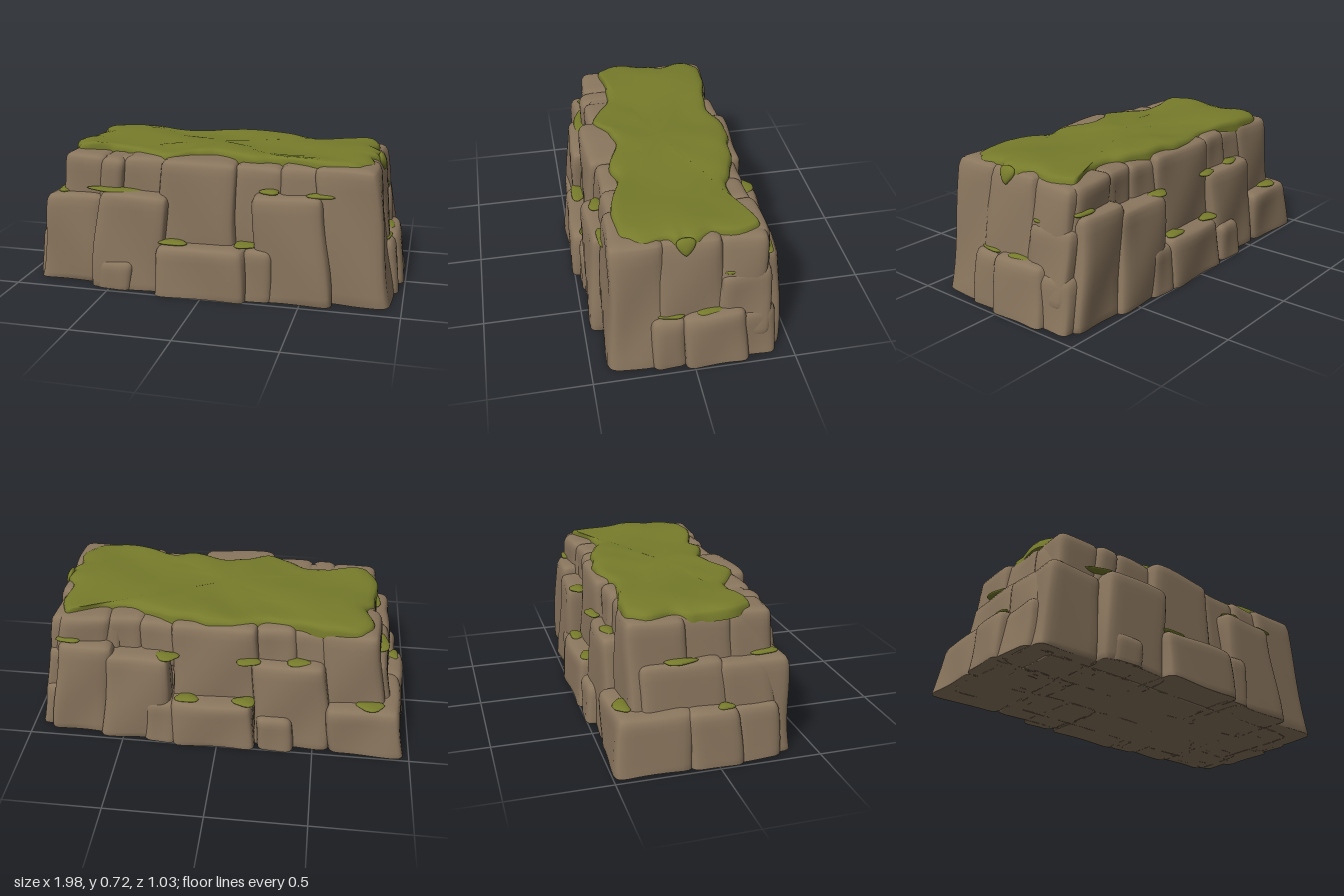
import * as THREE from 'three';
import { mergeVertices } from 'three/addons/utils/BufferGeometryUtils.js';

const rock = new THREE.MeshStandardMaterial({ color: 0x8a765e });
rock.name = 'brown rock';
const moss = new THREE.MeshStandardMaterial({ color: 0x767b2b, side: THREE.DoubleSide });
moss.name = 'green moss';

// Worn block: rounded box that leans inward with height and has gently uneven faces.
// Extents are [x0, x1, y0, y1, z0, z1], measured at mid-height.
function block(e, seed, radius, seg, wobble) {
  const [x0, x1, y0, y1, z0, z1] = e;
  const onGround = y0 === 0;
  const low = onGround ? -0.05 : y0;
  const half = [(x1 - x0) / 2, (y1 - low) / 2, (z1 - z0) / 2];
  const mid = [(x1 + x0) / 2, (y1 + low) / 2, (z1 + z0) / 2];
  const r = Math.min(radius, ...half);
  let g = new THREE.BoxGeometry(2, 2, 2, seg, seg, seg);
  g.deleteAttribute('normal');
  g.deleteAttribute('uv');
  g = mergeVertices(g);
  const p = g.attributes.position;
  const v = new THREE.Vector3(), core = new THREE.Vector3();
  for (let i = 0; i < p.count; i++) {
    v.fromBufferAttribute(p, i);
    // Crowd the grid toward the edges, then round them
    const q = v.toArray().map((t, k) => Math.sin(t * Math.PI / 2) * half[k]);
    core.fromArray(q.map((t, k) => THREE.MathUtils.clamp(t, r - half[k], half[k] - r)));
    v.fromArray(q).sub(core).normalize().multiplyScalar(r).add(core);
    v.x = (v.x + mid[0]) * (1 - 0.15 * v.y);
    v.z = (v.z + mid[2]) * (1 - 0.08 * v.y);
    v.y += mid[1];
    const { x, y, z } = v;
    v.x += wobble * Math.sin(9 * y + 12 * z + seed);
    v.y += wobble * 0.5 * Math.sin(10 * x + 8 * z + seed * 2);
    v.z += wobble * Math.sin(12 * x + 9 * y + seed * 3);
    if (onGround) v.y = Math.max(0, v.y);
    p.setXYZ(i, v.x, v.y, v.z);
  }
  g.computeVertexNormals();
  return g;
}

const walls = {
  frontStone: [
    [-0.90, -0.57, 0, 0.47, 0.1, 0.385],
    [-0.59, -0.20, 0, 0.505, 0.1, 0.45],
    [-0.57, -0.37, 0, 0.16, 0.2, 0.47],
    [-0.25, 0.22, 0, 0.265, 0.1, 0.505],
    [-0.25, 0.16, 0.2, 0.685, 0.1, 0.405],
    [0.13, 0.40, 0.2, 0.67, 0.1, 0.37],
    [0.20, 0.36, 0, 0.27, 0.1, 0.475],
    [0.26, 0.63, 0, 0.545, 0.1, 0.455],
    [0.37, 0.62, 0.42, 0.68, 0.1, 0.37],
    [0.57, 0.90, 0, 0.685, 0.12, 0.40],
    [-0.80, -0.55, 0.3, 0.68, 0.1, 0.33],
    [-0.58, -0.44, 0.4, 0.67, 0.1, 0.355],
    [-0.47, -0.21, 0.3, 0.68, 0.1, 0.345],
  ],
  backStone: [
    [0.56, 0.865, 0, 0.54, -0.445, -0.1],
    [0.25, 0.60, 0, 0.505, -0.47, -0.1],
    [0.21, 0.39, 0, 0.25, -0.495, -0.1],
    [-0.19, 0.24, 0, 0.265, -0.505, -0.1],
    [-0.21, 0.24, 0.2, 0.685, -0.405, -0.1],
    [-0.57, -0.18, 0, 0.505, -0.455, -0.1],
    [-0.39, -0.20, 0, 0.20, -0.505, -0.1],
    [-0.955, -0.57, 0, 0.275, -0.48, -0.11],
    [-0.83, -0.53, 0.15, 0.68, -0.395, -0.1],
    [-0.57, -0.35, 0.4, 0.67, -0.37, -0.1],
    [-0.39, -0.18, 0.4, 0.68, -0.385, -0.1],
    [0.20, 0.41, 0.4, 0.67, -0.37, -0.1],
    [0.38, 0.59, 0.4, 0.68, -0.36, -0.1],
    [0.56, 0.84, 0.4, 0.68, -0.38, -0.1],
  ],
  rightStone: [
    [0.6, 0.955, 0, 0.28, 0.02, 0.20],
    [0.6, 0.975, 0, 0.29, -0.27, 0.05],
    [0.6, 0.945, 0, 0.265, -0.41, -0.20],
    [0.5, 0.90, 0, 0.685, -0.16, 0.18],
    [0.5, 0.915, 0.1, 0.485, -0.39, -0.13],
    [0.5, 0.88, 0.2, 0.67, -0.37, -0.12],
  ],
  leftStone: [
    [-0.975, -0.6, 0, 0.27, -0.14, 0.12],
    [-0.95, -0.6, 0, 0.265, 0.08, 0.32],
    [-0.90, -0.5, 0, 0.47, 0.03, 0.31],
    [-0.89, -0.5, 0, 0.485, -0.35, 0.07],
    [-0.81, -0.4, 0.2, 0.68, -0.18, 0.13],
    [-0.80, -0.4, 0.2, 0.67, 0.09, 0.32],
  ],
};

// Moss patches on the ledges: [x, y, z, half width, half depth]
const ledgeMoss = [
  [-0.16, 0.268, 0.425, 0.075, 0.045],
  [0.21, 0.275, 0.40, 0.06, 0.055],
  [-0.49, 0.505, 0.355, 0.15, 0.04],
  [0.33, 0.552, 0.375, 0.05, 0.04],
  [0.58, 0.547, 0.375, 0.07, 0.035],
  [-0.78, 0.475, 0.27, 0.05, 0.07],
  [0.885, 0.285, 0.10, 0.04, 0.065],
  [0.89, 0.288, -0.08, 0.04, 0.065],
  [0.85, 0.488, -0.19, 0.03, 0.05],
  [0.77, 0.545, -0.375, 0.06, 0.035],
  [-0.15, 0.505, -0.405, 0.06, 0.045],
  [0.26, 0.503, -0.41, 0.06, 0.04],
  [-0.14, 0.268, -0.44, 0.06, 0.04],
  [0.16, 0.268, -0.44, 0.06, 0.04],
  [-0.40, 0.505, -0.39, 0.06, 0.035],
  [-0.78, 0.277, -0.415, 0.07, 0.04],
  [-0.91, 0.272, 0.05, 0.03, 0.04],
  [-0.83, 0.485, -0.15, 0.03, 0.08],
];

// Lumpy flattened mound
function mound([x, y, z, w, d], seed) {
  const g = new THREE.SphereGeometry(1, 20, 10);
  const p = g.attributes.position;
  for (let i = 0; i < p.count; i++) {
    const a = Math.atan2(p.getZ(i), p.getX(i));
    const lump = 1 + 0.14 * Math.sin(3 * a + seed);
    p.setXYZ(i, x + p.getX(i) * w * lump, y + p.getY(i) * 0.013, z + p.getZ(i) * d * lump);
  }
  g.computeVertexNormals();
  return g;
}

// Moss carpet: wavy outline filled with rings, bumpy on top and folded down at the rim
function carpet() {
  const outline = [
    [-0.74, 0.21], [-0.56, 0.20], [-0.40, 0.22], [-0.22, 0.32], [-0.08, 0.25], [0.04, 0.23],
    [0.20, 0.29], [0.35, 0.27], [0.50, 0.32], [0.72, 0.33], [0.81, 0.27], [0.82, 0.10],
    [0.84, 0.02], [0.81, -0.12], [0.79, -0.33], [0.62, -0.27], [0.45, -0.26], [0.30, -0.32],
    [0.12, -0.35], [-0.03, -0.37], [-0.25, -0.32], [-0.42, -0.34], [-0.60, -0.37], [-0.75, -0.33],
    [-0.74, -0.15], [-0.78, -0.02],
  ];
  const curve = new THREE.CatmullRomCurve3(outline.map(([x, z]) => new THREE.Vector3(x, 0, z)), true);
  const n = 180;
  const rim = curve.getPoints(n).slice(0, n);
  const rings = [[0, 0.709], [0.2, 0.709], [0.4, 0.709], [0.55, 0.709], [0.68, 0.71], [0.8, 0.71],
    [0.89, 0.709], [0.95, 0.704], [0.985, 0.694], [1, 0.678], [1.005, 0.645]];
  const pos = [], index = [];
  rings.forEach(([s, h], k) => rim.forEach((p, j) => {
    const ragged = 1 + 0.012 * Math.sin(j * 0.9) * s ** 6;
    const x = p.x * s * ragged, z = p.z * s * ragged;
    const bump = 0.006 * Math.sin(9 * x + 4 * z + 1) + 0.005 * Math.sin(13 * z - 7 * x)
      + 0.003 * Math.sin(23 * x) * Math.sin(19 * z);
    pos.push(x, h + bump, z);
    if (k === 0) return;
    const a = (k - 1) * n + j, b = k * n + j;
    const a2 = (k - 1) * n + (j + 1) % n, b2 = k * n + (j + 1) % n;
    index.push(a, b, b2);
    if (k > 1) index.push(a, b2, a2);
  }));
  let g = new THREE.BufferGeometry();
  g.setAttribute('position', new THREE.Float32BufferAttribute(pos, 3));
  g.setIndex(index);
  g = mergeVertices(g);
  g.computeVertexNormals();
  return g;
}

// Tongue of moss hanging over the right end, tapering to a point
function drip() {
  const g = new THREE.SphereGeometry(1, 16, 12);
  const p = g.attributes.position;
  for (let i = 0; i < p.count; i++) {
    const t = p.getY(i);
    const taper = 0.7 + 0.4 * t;
    p.setXYZ(i, 0.851 - 0.01 * t + p.getX(i) * 0.02, 0.66 + t * 0.045, 0.03 + p.getZ(i) * 0.06 * taper);
  }
  g.computeVertexNormals();
  return g;
}

export function createModel() {
  const model = new THREE.Group();
  model.name = 'mossyRockLedge';
  const add = (name, geometry, material) => {
    const mesh = new THREE.Mesh(geometry, material);
    mesh.name = name;
    model.add(mesh);
  };

  // Solid heart of the ledge behind the stones
  add('core', block([-0.78, 0.82, 0, 0.66, -0.34, 0.31], 0, 0.05, 6, 0.004), rock);

  let seed = 1;
  for (const [name, stones] of Object.entries(walls)) {
    for (const stone of stones) add(name, block(stone, seed += 1.7, 0.048, 12, 0.008), rock);
  }

  add('mossCarpet', carpet(), moss);
  add('mossDrip', drip(), moss);
  for (const patch of ledgeMoss) add('ledgeMoss', mound(patch, seed += 1.7), moss);
  return model;
}
